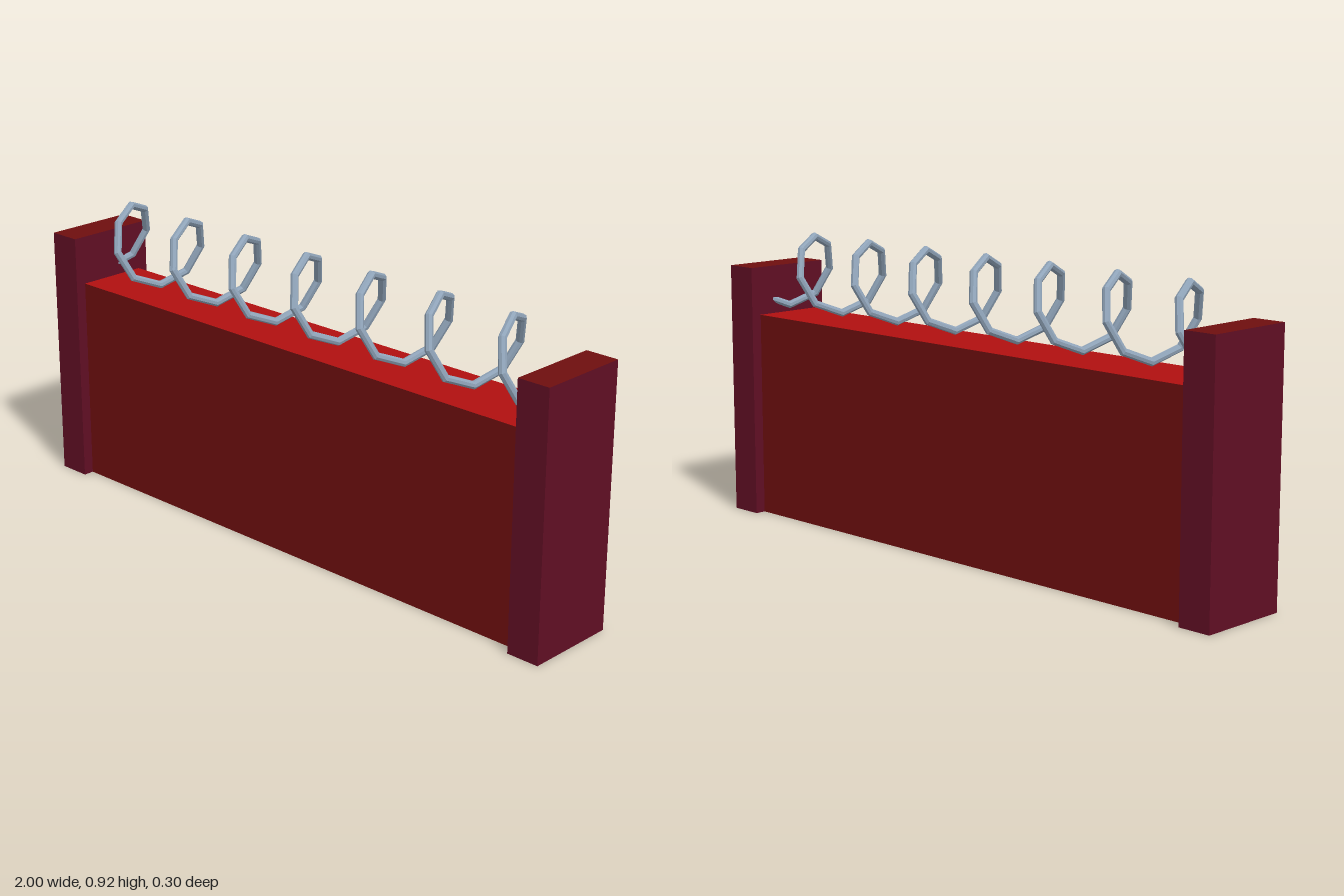
import * as THREE from 'three';

const material = (name, color) => {
  const m = new THREE.MeshStandardMaterial({ color });
  m.name = name;
  return m;
};

// Coil along x that starts and ends inside the posts
class Helix extends THREE.Curve {
  constructor(from, to) {
    super();
    this.from = from;
    this.to = to;
  }
  getPoint(t, target = new THREE.Vector3()) {
    const turn = this.from + t * (this.to - this.from);
    const a = turn * Math.PI * 2;
    return target.set(-0.79 + turn * 0.2575, 0.795 + 0.117 * Math.cos(a), 0.117 * Math.sin(a));
  }
}

export function createModel() {
  const red = material('bright red', 0xb01010);
  const darkRed = material('dark red', 0x6e0e0e);
  const maroon = material('maroon', 0x600e24);
  const steel = material('steel', 0x8fa3b8);
  const group = new THREE.Group();

  // Box standing on the ground, with its own colour on top
  const block = (name, w, h, d, x, side, top) => {
    const mesh = new THREE.Mesh(
      new THREE.BoxGeometry(w, h, d),
      [side, side, top, side, side, side]
    );
    mesh.name = name;
    mesh.position.set(x, h / 2, 0);
    group.add(mesh);
  };

  // Wall and end posts
  block('wall', 1.79, 0.655, 0.228, 0, darkRed, red);
  block('leftPost', 0.105, 0.81, 0.296, 0.9475, maroon, darkRed);
  block('rightPost', 0.105, 0.81, 0.296, -0.9475, maroon, darkRed);

  // Coiled wire, eight straight pieces to each turn
  const from = -0.5, to = 6.625;
  const helix = new Helix(from, to);
  const pieces = (to - from) * 8;
  helix.arcLengthDivisions = pieces * 8;
  const tube = new THREE.TubeGeometry(helix, pieces, 0.0125, 8).toNonIndexed();
  tube.computeVertexNormals();
  const coil = new THREE.Mesh(tube, steel);
  coil.name = 'wireCoil';
  group.add(coil);

  return group;
}
